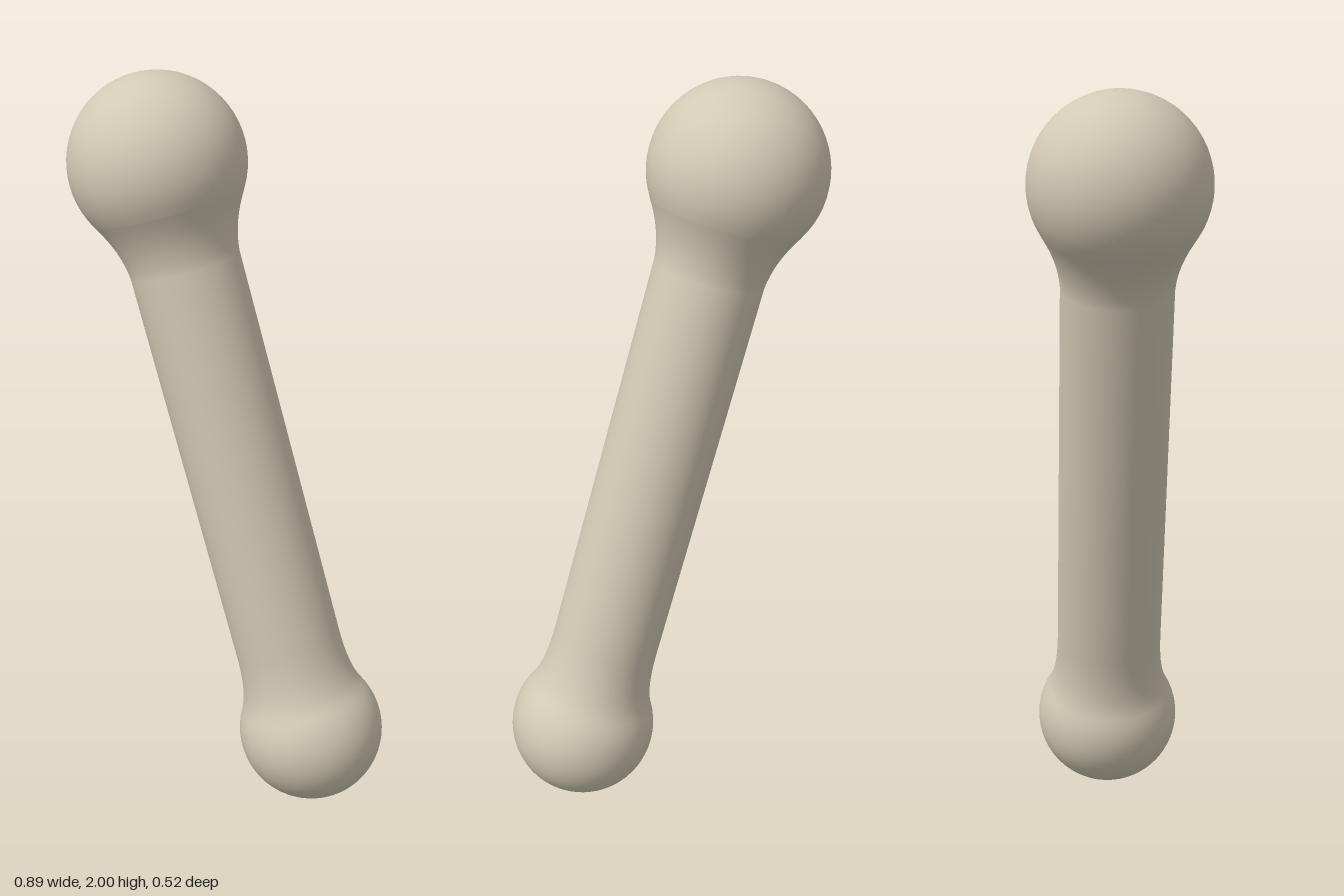
import * as THREE from 'three';

export function createModel() {
  const group = new THREE.Group();
  const bone = new THREE.MeshStandardMaterial({ color: 0xd2c9b4 });
  bone.name = 'warm bone';

  // Centres and radii of the two rounded ends
  const low = new THREE.Vector3(0.245, 0.2, -0.063);
  const high = new THREE.Vector3(-0.215, 1.765, 0.021);
  const lowR = 0.2, highR = 0.235, shaftR = 0.147;
  const axis = high.clone().sub(low);
  const length = axis.length();

  // Half profile: small knob, soft neck, straight shaft, soft neck, large knob
  const profile = [];
  const arc = (centre, r, from, to) => {
    for (let i = 0; i <= 20; i++) {
      const a = from + (to - from) * i / 20;
      profile.push(new THREE.Vector2(r * Math.cos(a), centre + r * Math.sin(a)));
    }
  };
  const neck = (from, c1, c2, to) => {
    const curve = new THREE.CubicBezierCurve(
      ...[from, c1, c2, to].map(p => new THREE.Vector2(...p)));
    profile.push(...curve.getPoints(10).slice(1));
  };

  const a = 0.5, b = -0.53;
  arc(0, lowR, -Math.PI / 2, a);
  const p = profile[profile.length - 1];
  neck([p.x, p.y], [p.x - 0.022, p.y + 0.04], [shaftR, 0.2], [shaftR, 0.27]);

  const q = [highR * Math.cos(b), length + highR * Math.sin(b)];
  neck([shaftR, length - 0.3], [shaftR, length - 0.22], [q[0] - 0.026, q[1] - 0.045], q);
  arc(length, highR, b, Math.PI / 2);
  profile[0].x = profile[profile.length - 1].x = 0;

  // Solid of revolution leaning along the line between the two ends
  const body = new THREE.Mesh(new THREE.LatheGeometry(profile, 64), bone);
  body.name = 'knobbedShaft';
  body.position.copy(low);
  body.quaternion.setFromUnitVectors(new THREE.Vector3(0, 1, 0), axis.normalize());
  group.add(body);
  return group;
}
